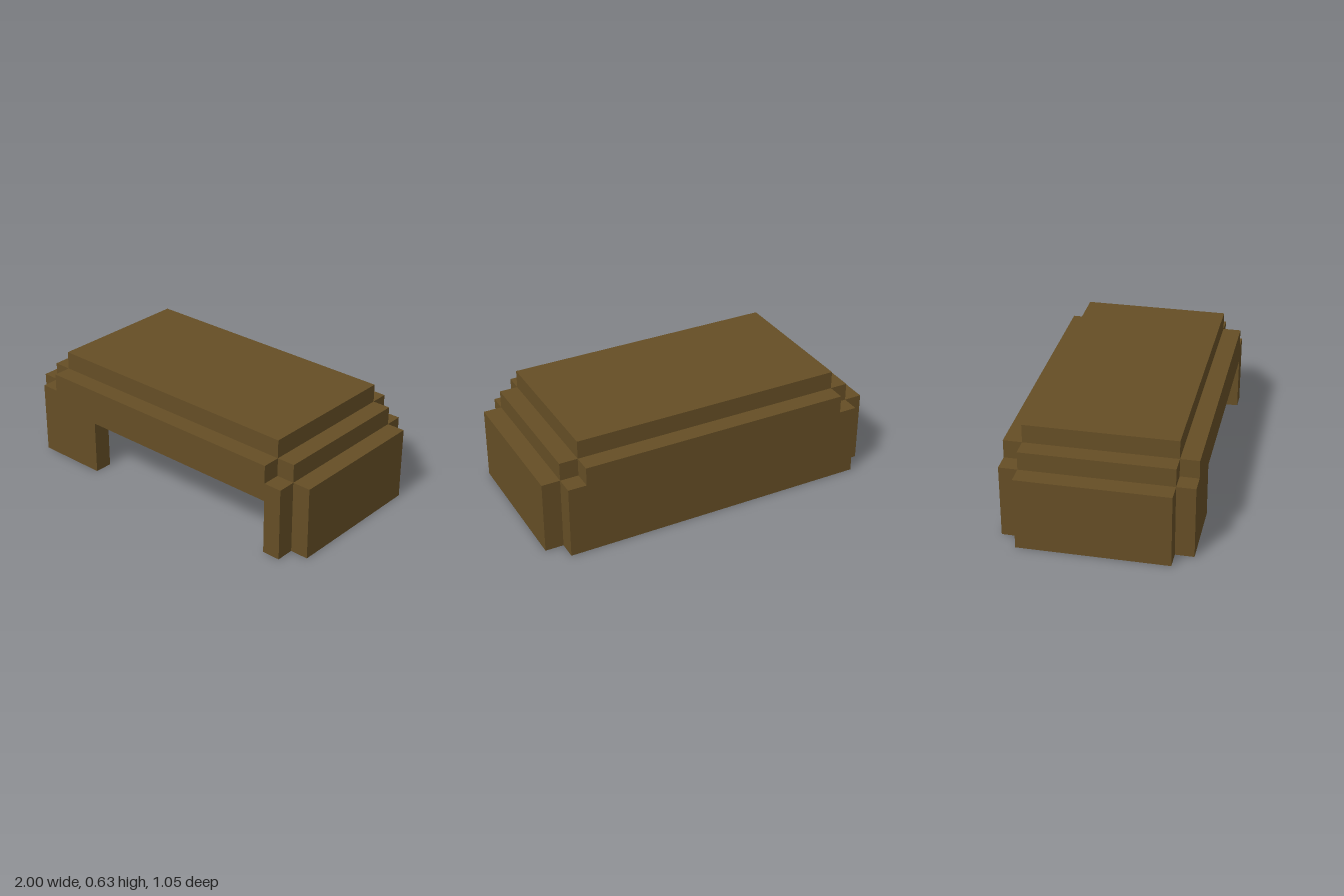
import * as THREE from 'three';

// Everything sits on a grid of cubes: 19 wide, 6 high, 10 deep
const U = 2 / 19;

export function createModel() {
  const group = new THREE.Group();
  const material = new THREE.MeshStandardMaterial({ color: 0x654e25, flatShading: true });

  const add = (name, geometry) => {
    const mesh = new THREE.Mesh(geometry, material);
    mesh.name = name;
    group.add(mesh);
    return mesh;
  };

  // Box given by its minimum and maximum corners in grid units
  const box = (name, [x0, y0, z0], [x1, y1, z1]) => {
    const mesh = add(name, new THREE.BoxGeometry((x1 - x0) * U, (y1 - y0) * U, (z1 - z0) * U));
    mesh.position.set((x0 + x1) / 2, (y0 + y1) / 2, (z0 + z1) / 2).multiplyScalar(U);
  };

  // Upright wall, one unit thick, from an outline in grid units
  const wall = (name, outline, z) => {
    const shape = new THREE.Shape(outline.map(([x, y]) => new THREE.Vector2(x * U, y * U)));
    add(name, new THREE.ExtrudeGeometry(shape, { depth: U, bevelEnabled: false })).position.z = z * U;
  };

  // Long walls with stepped upper corners; the front one has an off-centre opening
  const steppedTop = [[8.5, 0], [8.5, 4], [7.5, 4], [7.5, 5], [-7.5, 5], [-7.5, 4], [-8.5, 4], [-8.5, 0]];
  const opening = [[-4.5, 0], [-4.5, 3], [7.5, 3], [7.5, 0]];
  wall('backWall', steppedTop, -5);
  wall('frontWall', [...steppedTop, ...opening], 4);

  // Top slab
  box('topSlab', [-7.5, 5, -4], [7.5, 6, 4]);

  // End walls and the ledges stepping up to the top
  for (const [side, s] of [['left', 1], ['right', -1]]) {
    const span = (a, b) => [Math.min(s * a, s * b), Math.max(s * a, s * b)];
    const [e0, e1] = span(8.5, 9.5);
    box(side + 'EndWall', [e0, 0, -4], [e1, 4, 4]);
    const [l0, l1] = span(7.5, 8.5);
    box(side + 'Ledge', [l0, 4, -4], [l1, 5, 4]);
  }

  return group;
}
